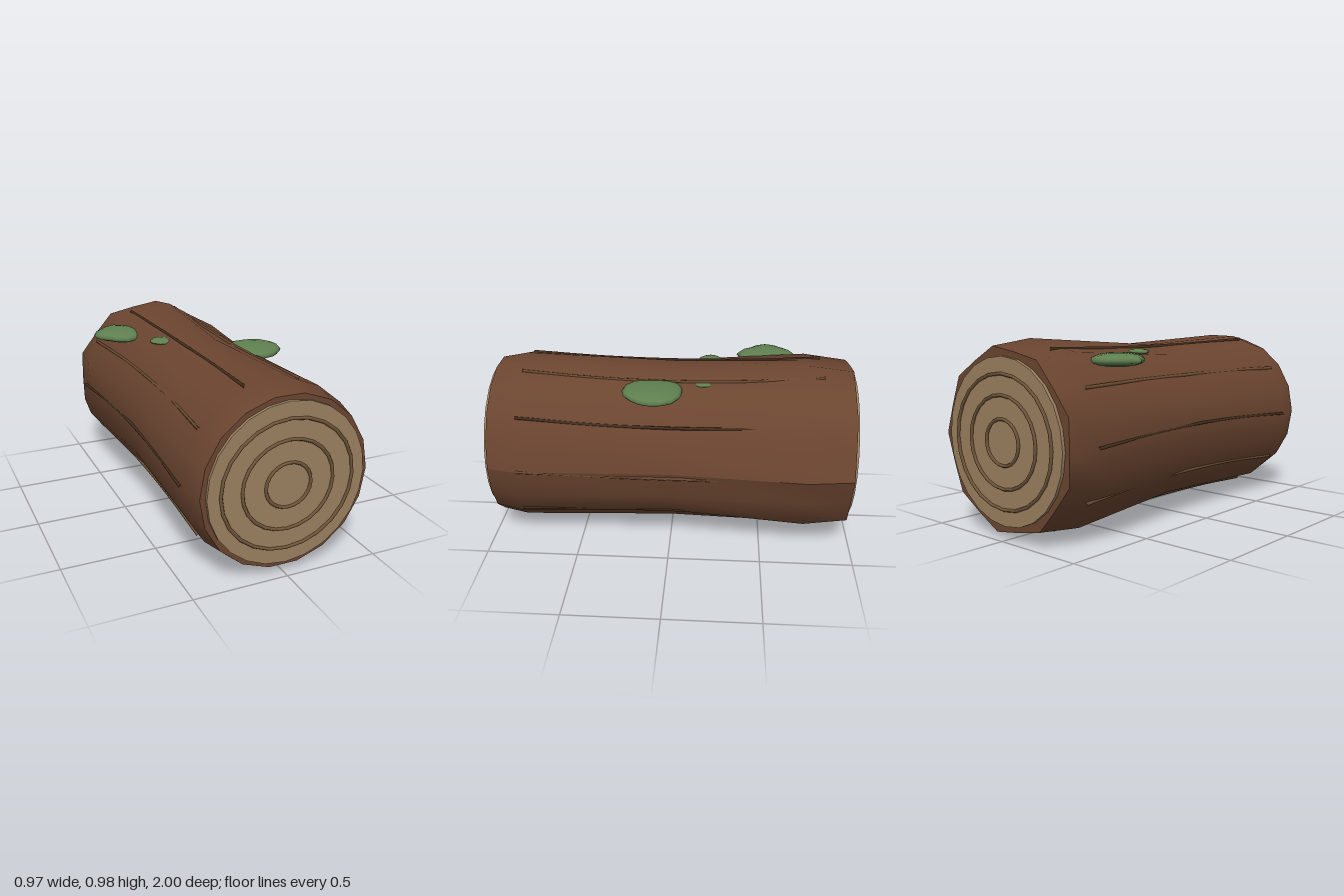
import * as THREE from 'three';

const CX = -0.01, CY = 0.495; // axis of the log
const mat = (color) => new THREE.MeshStandardMaterial({ color });

export function createModel() {
  const log = new THREE.Group();
  log.name = 'log';
  const barkMat = mat(0x6b4530), woodMat = mat(0x9a8060), ringMat = mat(0x705539);
  const darkMat = mat(0x46301f), lightMat = mat(0x6f4d32), mossMat = mat(0x5f8050);

  const add = (parent, name, geometry, material) => {
    const mesh = new THREE.Mesh(geometry, material);
    mesh.name = name;
    parent.add(mesh);
    return mesh;
  };

  const trunk = new THREE.Group();
  trunk.name = 'trunk';
  trunk.position.set(CX, CY, 0);
  log.add(trunk);

  // Bark: waisted cylinder with nine ridges flaring out at the back
  const stations = [ // z, radius, ridge height
    [-0.97, 0.455, 0.012], [-0.73, 0.48, 0.017], [0, 0.445, 0], [0.83, 0.472, 0.002], [0.97, 0.443, 0],
  ];
  const bark = new THREE.CylinderGeometry(1, 1, 1, 18, 4, false, Math.PI / 2);
  bark.rotateX(Math.PI / 2);
  const pos = bark.attributes.position;
  for (let i = 0; i < pos.count; i++) {
    const x = pos.getX(i), y = pos.getY(i);
    const [z, r, ridge] = stations[Math.round((pos.getZ(i) + 0.5) * 4)];
    const rad = r + ridge * Math.cos(9 * Math.atan2(y, x));
    pos.setXYZ(i, x * rad, y * rad, z);
  }
  bark.computeVertexNormals();
  add(trunk, 'bark', bark, barkMat);

  // Cut ends with growth rings
  for (const side of [1, -1]) {
    const end = new THREE.Group();
    end.name = side > 0 ? 'frontCut' : 'backCut';
    if (side < 0) end.rotation.y = Math.PI;
    trunk.add(end);
    const disc = new THREE.CylinderGeometry(0.415, 0.415, 0.04, 24).rotateX(Math.PI / 2);
    add(end, 'cutFace', disc, woodMat).position.z = 0.967;
    for (const r of [0.348, 0.24, 0.119]) {
      const ring = add(end, 'growthRing', new THREE.TorusGeometry(r, 0.009, 6, 24), ringMat);
      ring.position.z = 0.991;
      ring.scale.y = 0.955;
    }
  }

  // Bark strips: ten thin tubes that sag with the waist and bend slightly round it
  for (let k = 0; k < 10; k++) {
    const points = [-0.81, -0.4, 0, 0.4, 0.81].map((z) => {
      const t = 1 - (z / 0.81) ** 2;
      const a = (k * Math.PI) / 5 - 0.06 * t;
      const r = 0.469 - 0.026 * t;
      return new THREE.Vector3(r * Math.cos(a), r * Math.sin(a), z);
    });
    const tube = new THREE.TubeGeometry(new THREE.CatmullRomCurve3(points), 16, 0.009, 5);
    add(trunk, 'barkStrip', tube, k % 2 ? darkMat : lightMat);
  }

  // Moss: flattened spheres with an uneven outline, radii given round y from +x towards +z
  const moss = (name, x, y, z, height, radii) => {
    const n = radii.length;
    const geo = new THREE.SphereGeometry(1, n * 2, 8);
    const p = geo.attributes.position;
    for (let i = 0; i < p.count; i++) {
      const px = p.getX(i), pz = p.getZ(i);
      const t = ((Math.atan2(pz, px) / (2 * Math.PI) + 1) % 1) * n;
      const a = Math.floor(t + 1e-4) % n;
      const r = THREE.MathUtils.lerp(radii[a], radii[(a + 1) % n], Math.max(0, t - Math.floor(t + 1e-4)));
      p.setXYZ(i, px * r, p.getY(i) * height, pz * r);
    }
    geo.computeVertexNormals();
    add(log, name, geo, mossMat).position.set(x, y, z);
  };
  moss('mossRightBack', -0.33, 0.885, -0.52, 0.036, [0.13, 0.14, 0.17, 0.13, 0.155, 0.14, 0.17, 0.13]);
  moss('mossLeftFront', 0.25, 0.885, 0.1, 0.036, [0.16, 0.15, 0.16, 0.17, 0.15, 0.18, 0.16, 0.17]);
  moss('mossRightSmall', -0.185, 0.905, -0.2, 0.016, [0.05, 0.065, 0.07, 0.06, 0.065, 0.06, 0.07, 0.06]);
  moss('mossLeftSmall', 0.145, 0.896, -0.17, 0.012, [0.045, 0.05, 0.055, 0.05, 0.05, 0.045, 0.055, 0.05]);

  return log;
}
